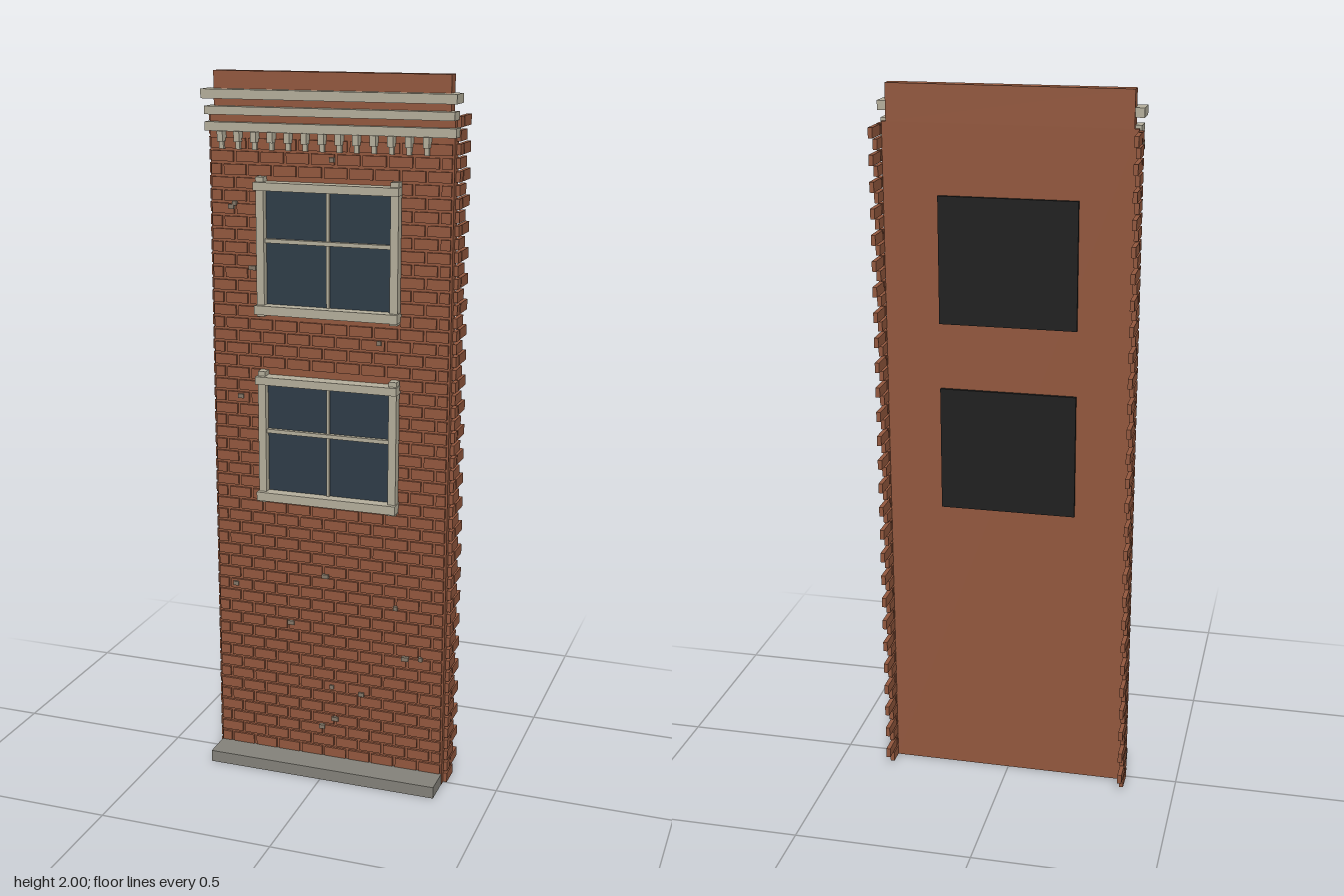
import * as THREE from 'three';
import { mergeGeometries } from 'three/addons/utils/BufferGeometryUtils.js';

// Box geometry given by its min and max on each axis
function span(x0, x1, y0, y1, z0, z1) {
  return new THREE.BoxGeometry(x1 - x0, y1 - y0, z1 - z0)
    .translate((x0 + x1) / 2, (y0 + y1) / 2, (z0 + z1) / 2);
}

function material(name, color) {
  const m = new THREE.MeshStandardMaterial({ color });
  m.name = name;
  return m;
}

export function createModel() {
  const brick = material('brick red', 0x93583e);
  const stone = material('pale stone', 0xb5af9c);
  const plinthGrey = material('plinth grey', 0x84827a);
  const glass = material('dark glass', 0x2e3c48);
  const black = material('black backing', 0x1f1f1f);
  const chipGrey = material('chip grey', 0x857868);

  const model = new THREE.Group();
  model.name = 'brickFacade';
  const add = (name, mat, geometries, parent = model) => {
    const mesh = new THREE.Mesh(mergeGeometries(geometries), mat);
    mesh.name = name;
    parent.add(mesh);
  };

  const windowBases = [0.81, 1.345];
  const windowHeight = 0.38;

  // Wall, parapet and base slab
  add('wall', brick, [span(-0.342, 0.342, 0, 1.9, -0.02, 0.018)]);
  add('parapet', brick, [span(-0.33, 0.33, 1.9, 2, -0.02, 0.017)]);
  add('baseSlab', plinthGrey, [span(-0.341, 0.341, 0, 0.034, -0.008, 0.104)]);

  // Running-bond bricks on the front, cut back around the windows
  const pitch = 0.0352, brickHeight = 0.028, step = 0.072, joint = 0.008;
  const rows = 54, edge = 0.337, opening = 0.203;
  const faceBricks = [];
  const sideBricks = [];
  for (let row = 0; row < rows; row++) {
    const y0 = 0.001 + row * pitch, y1 = y0 + brickHeight;
    const beside = windowBases.some(b => y1 > b + 0.006 && y0 < b + windowHeight - 0.006);
    const pieces = beside ? [[-edge, -opening], [opening, edge]] : [[-edge, edge]];
    if (row > 0 && y1 < 1.85) {
      const start = -edge - (row % 2) * step / 2;
      for (let x = start; x < edge; x += step) {
        for (const [lo, hi] of pieces) {
          const x0 = Math.max(x, lo), x1 = Math.min(x + step - joint, hi);
          if (x1 - x0 > 0.008) faceBricks.push(span(x0, x1, y0, y1, 0.01, 0.025));
        }
      }
    }
    // Toothed return bricks on both side edges
    const returns = row % 2 ? [[-0.03, 0], [-0.104, -0.035]] : [[-0.064, 0]];
    for (const [z0, z1] of returns) {
      sideBricks.push(span(0.341, 0.353, y0, y1, z0, z1));
      sideBricks.push(span(-0.353, -0.341, y0, y1, z0, z1));
    }
  }
  add('faceBricks', brick, faceBricks);
  add('sideBricks', brick, sideBricks);

  // Small weathered chips on the brick face
  const chips = [
    [-0.27, 1.65], [-0.28, 1.64], [-0.22, 1.475], [0.145, 1.29], [-0.26, 1.11],
    [-0.01, 0.6], [0.2, 0.53], [-0.285, 0.545], [-0.115, 0.445], [0.01, 0.26],
    [0.1, 0.25], [0.23, 0.38], [0.275, 0.385], [-0.02, 0.13], [0.02, 0.16], [0.01, 1.775],
  ];
  add('weatheredChips', chipGrey, chips.map(([x, y], i) => {
    const w = 0.006 + (i % 3) * 0.002;
    return span(x - w, x + w, y - 0.006, y + 0.006, 0.02, 0.031);
  }));

  // Cornice mouldings
  add('cornice', stone, [
    span(-0.354, 0.354, 1.928, 1.953, -0.014, 0.051),
    span(-0.347, 0.347, 1.886, 1.908, -0.006, 0.045),
    span(-0.35, 0.35, 1.842, 1.866, -0.006, 0.037),
  ]);

  // Row of small brackets under the cornice
  const brackets = [];
  for (let i = 0; i < 13; i++) {
    const x = -0.303 + i * 0.0479;
    brackets.push(span(x - 0.008, x + 0.008, 1.815, 1.843, 0.015, 0.045));
    brackets.push(span(x - 0.006, x + 0.006, 1.795, 1.815, 0.015, 0.035));
  }
  add('corniceBrackets', stone, brackets);

  // Windows: frame, glazing bars, glass and the backing seen from behind
  windowBases.forEach((base, i) => {
    const win = new THREE.Group();
    win.name = i ? 'upperWindow' : 'lowerWindow';
    win.position.y = base;
    model.add(win);
    add('jambs', stone, [-1, 1].map(s =>
      span(s * 0.19 - 0.011, s * 0.19 + 0.011, 0, windowHeight, 0.01, 0.046)), win);
    add('lintelAndSill', stone, [
      span(-0.204, 0.204, 0.345, 0.367, 0.01, 0.059),
      span(-0.204, 0.204, 0.007, 0.032, 0.01, 0.059),
    ], win);
    add('glazingBars', stone, [
      span(-0.18, 0.18, 0.202, 0.213, 0.02, 0.037),
      span(-0.004, 0.004, 0.03, 0.346, 0.02, 0.033),
    ], win);
    add('glass', glass, [span(-0.18, 0.18, 0.03, 0.347, 0.018, 0.025)], win);
    add('backing', black, [span(-0.19, 0.19, 0.015, 0.365, -0.029, -0.018)], win);
  });

  return model;
}
